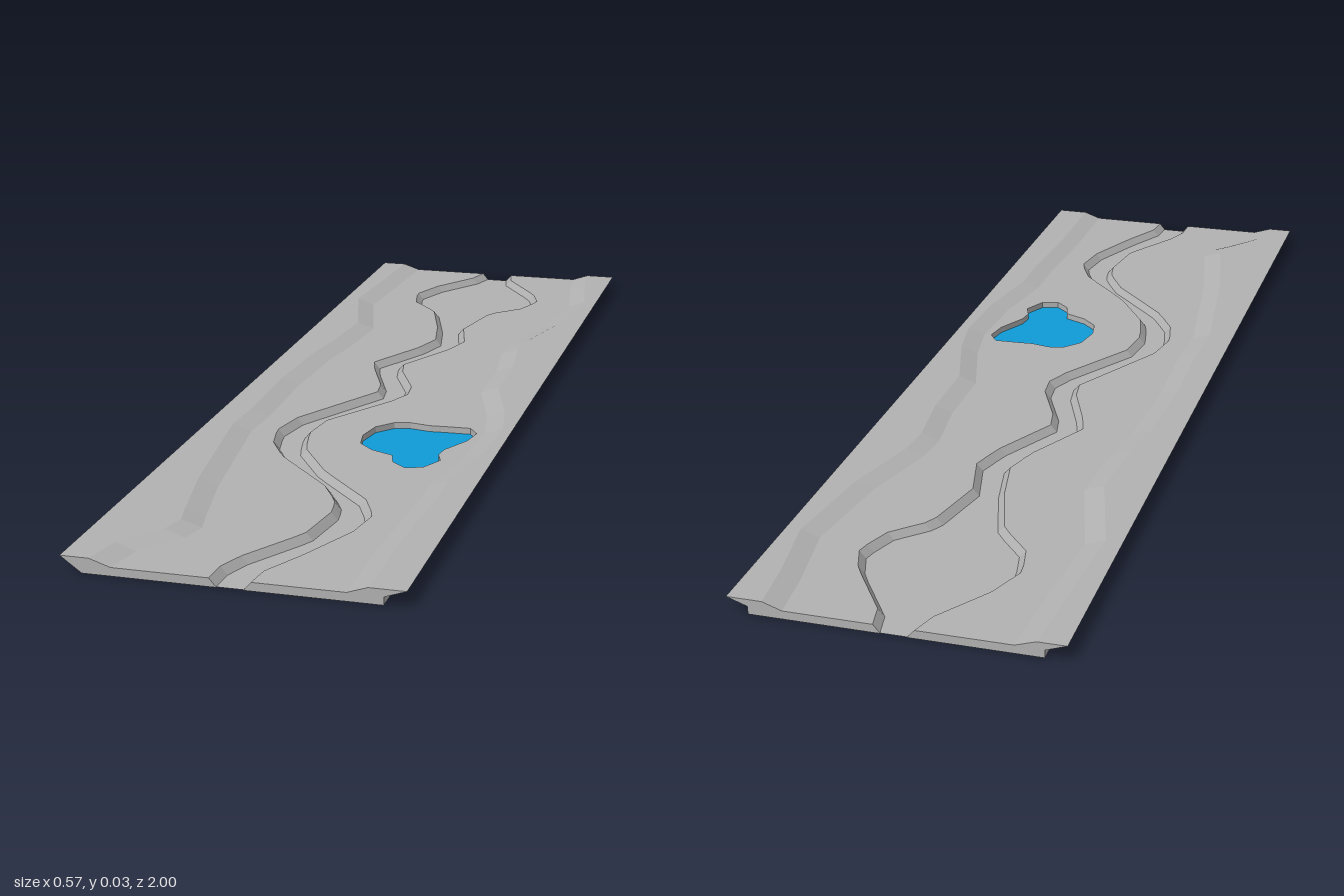
import * as THREE from 'three';

const FLOOR = 0.001, FLAT = 0.015, TOP = 0.027, LIP = 0.287, SKIRT = 0.25;

// Edge lines running along the tile, as [z, x] pairs
const channelRight = [[-1, 0.035], [-0.95, 0.045], [-0.83, 0.125], [-0.77, 0.145], [-0.7, 0.12], [-0.64, 0.06],
  [-0.5, 0.03], [-0.4, 0.055], [-0.33, 0.035], [-0.2, -0.03], [-0.15, -0.02], [-0.05, 0.025], [0, 0.03], [0.05, 0.01],
  [0.2, -0.08], [0.28, -0.09], [0.37, -0.07], [0.48, 0], [0.6, 0.11], [0.67, 0.142], [0.75, 0.13], [0.87, 0.08],
  [0.95, 0.04], [1, 0.035]];
const channelLeft = [[-1, -0.035], [-0.95, -0.05], [-0.85, -0.115], [-0.77, -0.145], [-0.7, -0.13], [-0.63, -0.07],
  [-0.5, -0.03], [-0.4, -0.01], [-0.33, -0.03], [-0.2, -0.095], [-0.15, -0.08], [-0.05, -0.04], [0, -0.033],
  [0.2, -0.14], [0.28, -0.155], [0.35, -0.14], [0.42, -0.1], [0.55, 0.02], [0.62, 0.06], [0.67, 0.07],
  [0.78, 0.055], [0.9, -0.015], [0.95, -0.033], [1, -0.035]];
const footRight = [[-1, 0.19], [-0.9, 0.2], [-0.75, 0.225], [-0.55, 0.2], [-0.4, 0.16], [-0.33, 0.153], [-0.2, 0.17],
  [-0.05, 0.17], [0.1, 0.215], [0.2, 0.232], [0.35, 0.225], [0.5, 0.2], [0.6, 0.2], [0.8, 0.19], [1, 0.19]];
const footLeft = [[-1, -0.2], [-0.8, -0.21], [-0.65, -0.22], [-0.45, -0.165], [-0.3, -0.175], [-0.2, -0.19], [0, -0.2],
  [0.2, -0.195], [0.3, -0.2], [0.45, -0.18], [0.6, -0.16], [0.75, -0.13], [0.8, -0.118], [0.85, -0.13],
  [0.92, -0.185], [1, -0.2]];
// Pond outline as [x, z]
const pond = [[0.012, 0.27], [0.022, 0.215], [0.05, 0.182], [0.08, 0.174], [0.12, 0.182], [0.15, 0.18], [0.2, 0.178],
  [0.218, 0.205], [0.21, 0.25], [0.18, 0.31], [0.176, 0.34], [0.187, 0.37], [0.165, 0.415], [0.132, 0.424],
  [0.105, 0.4], [0.095, 0.365], [0.05, 0.345], [0.02, 0.315]];

const STEPS = 80;
const rows = Array.from({ length: STEPS + 1 }, (_, i) => -1 + (2 * i) / STEPS);

function xAt(line, z) {
  let i = 1;
  while (i < line.length - 1 && line[i][0] < z) i++;
  const [z0, x0] = line[i - 1], [z1, x1] = line[i];
  return x0 + (x1 - x0) * (z - z0) / (z1 - z0);
}

// A lengthwise edge: points at every row, at one height
const edge = (line, y, shift = 0) =>
  rows.map(z => [(typeof line === 'number' ? line : xAt(line, z)) + shift, y, z]);

// Faceted strip between two point lists
function ribbon(a, b) {
  const pos = [];
  for (let i = 0; i < a.length - 1; i++) {
    pos.push(...a[i], ...a[i + 1], ...b[i], ...a[i + 1], ...b[i + 1], ...b[i]);
  }
  const g = new THREE.BufferGeometry();
  g.setAttribute('position', new THREE.Float32BufferAttribute(pos, 3));
  g.computeVertexNormals();
  return g;
}

// Horizontal sheet from [x, z] points, facing up
function sheet(points, y, hole) {
  const toV = ([x, z]) => new THREE.Vector2(x, -z);
  const shape = new THREE.Shape(points.map(toV));
  if (hole) shape.holes.push(new THREE.Path(hole.map(toV)));
  return new THREE.ShapeGeometry(shape).rotateX(-Math.PI / 2).translate(0, y, 0);
}

// Upright plate from [x, y] points
function plate(points, z, facingBack) {
  const sign = facingBack ? -1 : 1;
  const g = new THREE.ShapeGeometry(new THREE.Shape(points.map(([x, y]) => new THREE.Vector2(sign * x, y))));
  if (facingBack) g.rotateY(Math.PI);
  return g.translate(0, 0, z);
}

export function createModel() {
  const group = new THREE.Group();
  const stone = new THREE.MeshStandardMaterial({ color: 0xb2b2b2, side: THREE.DoubleSide });
  stone.name = 'stone grey';
  const blue = new THREE.MeshStandardMaterial({ color: 0x0f9bd7, side: THREE.DoubleSide });
  blue.name = 'water blue';
  const add = (name, geometry, material = stone) => {
    const mesh = new THREE.Mesh(geometry, material);
    mesh.name = name;
    group.add(mesh);
  };

  // Raised banks along both long sides
  add('leftShelf', ribbon(edge(-LIP, TOP), edge(footLeft, TOP, -0.037)));
  add('leftBankSlope', ribbon(edge(footLeft, TOP, -0.037), edge(footLeft, FLAT)));
  add('rightBankSlope', ribbon(edge(footRight, FLAT), edge(footRight, TOP, 0.035)));
  add('rightShelf', ribbon(edge(footRight, TOP, 0.035), edge(LIP, TOP)));

  // Flat ground; the right part is cut out for the pond
  add('leftGround', ribbon(edge(footLeft, FLAT), edge(channelLeft, FLAT)));
  const outline = [...rows.map(z => [xAt(channelRight, z), z]),
    ...rows.slice().reverse().map(z => [xAt(footRight, z), z])];
  add('rightGround', sheet(outline, FLAT, pond));

  // Winding channel with sloping walls
  add('channelLeftWall', ribbon(edge(channelLeft, FLAT), edge(channelLeft, FLOOR, 0.012)));
  add('channelFloor', ribbon(edge(channelLeft, FLOOR, 0.012), edge(channelRight, FLOOR, -0.012)));
  add('channelRightWall', ribbon(edge(channelRight, FLOOR, -0.012), edge(channelRight, FLAT)));

  // Pond
  const ring = [...pond, pond[0]];
  add('pondWall', ribbon(ring.map(([x, z]) => [x, FLAT, z]), ring.map(([x, z]) => [x, 0.003, z])));
  add('pondWater', sheet(pond, 0.003), blue);

  // Overhanging lips and side skirts
  for (const s of [-1, 1]) {
    const lip = edge(s * LIP, TOP), joint = edge(s * SKIRT, FLAT - 0.001), base = edge(s * SKIRT, 0);
    add('lipUnderside', s > 0 ? ribbon(lip, joint) : ribbon(joint, lip));
    add('sideSkirt', s > 0 ? ribbon(joint, base) : ribbon(base, joint));
  }

  // End walls with the channel notch
  for (const z of [-1, 1]) {
    const l = xAt(footLeft, z), r = xAt(footRight, z);
    const corner = z > 0 ? [] : [[-SKIRT, FLAT - 0.001]];
    add('endWall', plate([[-SKIRT, 0], [-0.023, 0], [-0.023, FLOOR], [-0.035, FLAT], [l, FLAT],
      [l - 0.037, TOP], [-LIP, TOP], ...corner], z, z < 0));
    add('endWall', plate([[0.023, 0], [SKIRT, 0], [SKIRT, FLAT - 0.001], [LIP, TOP], [r + 0.035, TOP],
      [r, FLAT], [0.035, FLAT], [0.023, FLOOR]], z, z < 0));
  }

  // Cross ribs underneath
  for (const z of [-0.5, 0, 0.5]) {
    const l = xAt(channelLeft, z), r = xAt(channelRight, z);
    add('crossRib', plate([[-SKIRT, 0], [l + 0.012, 0], [l, FLAT], [-SKIRT, FLAT]], z));
    add('crossRib', plate([[r - 0.012, 0], [SKIRT, 0], [SKIRT, FLAT], [r, FLAT]], z));
  }
  return group;
}
